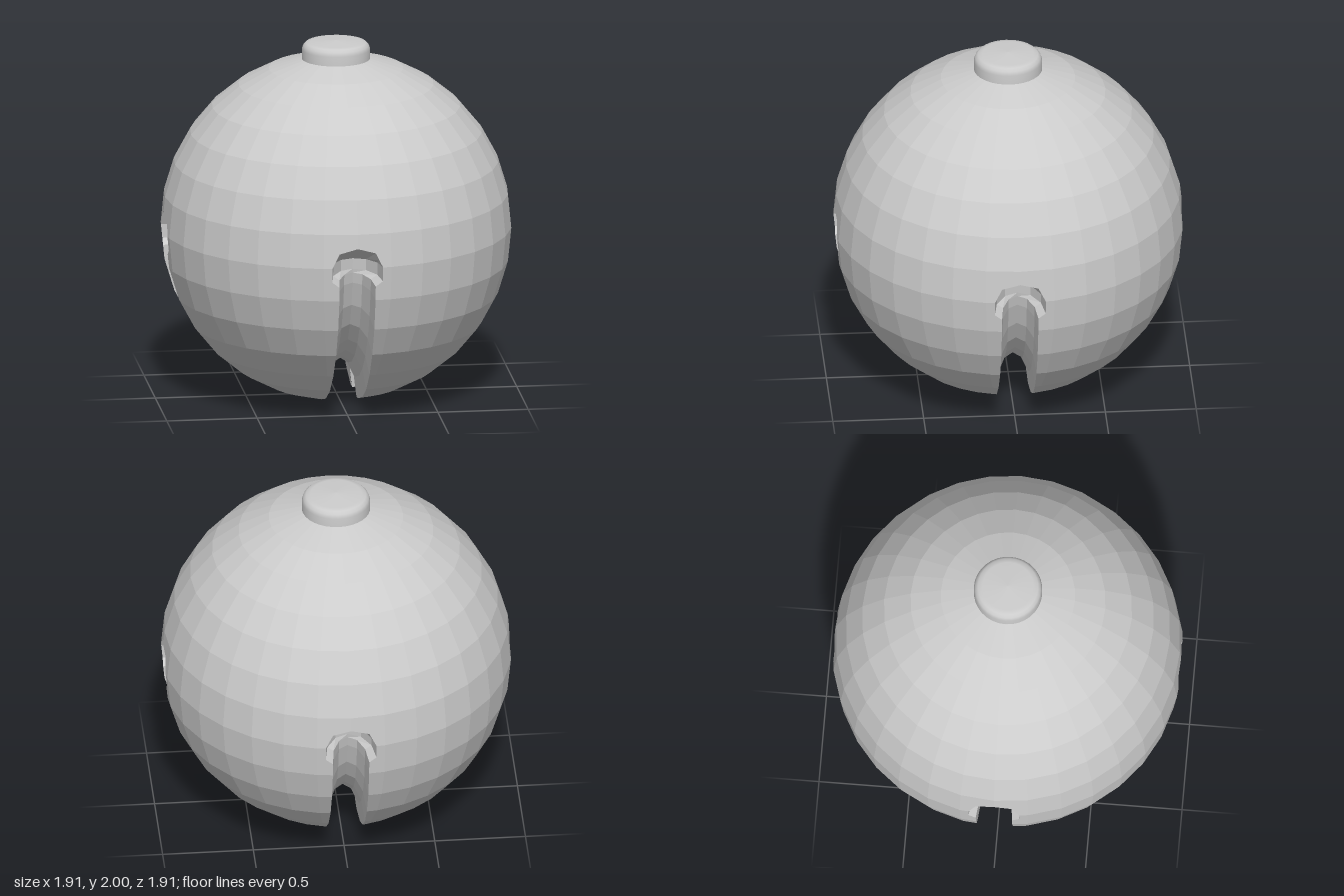
import * as THREE from 'three';

const R = 0.965, CY = 0.951, STEP = Math.PI / 16;
const SLOT = 0.1, HOLE = 0.14;

// Slot cross-section: [half width, distance from ball centre], edge to floor
const PROFILE = [[SLOT, R], [0.087, 0.84], [0.05, 0.76], [0, 0.73]];

// Radius of the faceted ball at height v (from its centre) and azimuth a
function ballRadius(v, a) {
  const k = Math.min(7, Math.floor(Math.asin(Math.min(1, Math.abs(v) / R)) / STEP + 1e-6));
  const v0 = R * Math.sin(k * STEP), v1 = R * Math.sin((k + 1) * STEP);
  const r = THREE.MathUtils.lerp(R * Math.cos(k * STEP), R * Math.cos((k + 1) * STEP),
    (Math.abs(v) - v0) / (v1 - v0));
  const local = THREE.MathUtils.euclideanModulo(a, STEP) - STEP / 2;
  return r * Math.cos(STEP / 2) / Math.cos(local);
}

function ballPoint(v, a) {
  const r = Math.max(0, ballRadius(v, a));
  return new THREE.Vector3(r * Math.sin(a), v, r * Math.cos(a));
}

// Azimuth at which the ball surface reaches x = w
function edgeAngle(v, w) {
  let a = 0;
  for (let i = 0; w > 0 && i < 12; i++) a = Math.asin(Math.min(0.70711, w / ballRadius(v, a)));
  return a;
}

// Rows [height, half width of opening], top to bottom
function makeRows() {
  const rows = [];
  for (let k = 8; k >= 1; k--) rows.push([R * Math.sin(k * STEP), 0]);
  rows.push([0.109, 0], [0.08, SLOT], [0, HOLE], [-0.08, HOLE], [-0.11, SLOT]);
  for (let k = 1; k <= 7; k++) rows.push([-R * Math.sin(k * STEP), SLOT]);
  rows.push([-0.951, SLOT]);
  return rows;
}

// Flat-shaded surface through a grid of points
function gridGeometry(grids) {
  const pos = [];
  const tri = (a, b, c) => {
    const area = new THREE.Vector3().subVectors(b, a).cross(new THREE.Vector3().subVectors(c, a));
    if (area.length() > 1e-7) for (const p of [a, b, c]) pos.push(p.x, p.y, p.z);
  };
  for (const g of grids) {
    for (let i = 0; i + 1 < g.length; i++) {
      for (let j = 0; j + 1 < g[i].length; j++) {
        tri(g[i][j], g[i + 1][j], g[i + 1][j + 1]);
        tri(g[i][j], g[i + 1][j + 1], g[i][j + 1]);
      }
    }
  }
  const geo = new THREE.BufferGeometry();
  geo.setAttribute('position', new THREE.Float32BufferAttribute(pos, 3));
  geo.computeVertexNormals();
  return geo;
}

// One quarter of the ball, trimmed along the slots on both sides
function quarterGeometry(rows) {
  return gridGeometry([rows.map(([v, w]) => {
    const lo = edgeAngle(v, w), line = [];
    for (let j = 0; j <= 8; j++) {
      line.push(ballPoint(v, THREE.MathUtils.clamp(j * STEP, lo, Math.PI / 2 - lo)));
    }
    return line;
  })]);
}

// One slot: rounded channel ending in a wider hole with a sloping roof
function slotGeometry(rows) {
  const low = rows.filter(([v]) => v <= 0);
  const channel = low.map(([v, w], row) => PROFILE.map(([pw, rho], i) => {
    if (i === 0) return ballPoint(v, edgeAngle(v, w));
    // the last row meets the crossing slot on the mitre x = z
    const t = row === low.length - 1 ? Math.acos(pw / rho) : Math.asin(-v / R);
    return new THREE.Vector3(pw * w / SLOT, -rho * Math.sin(t), rho * Math.cos(t));
  }));
  const rim = [[0, HOLE], [0.08, SLOT], [0.109, 0]].map(([v, w]) => ballPoint(v, edgeAngle(v, w)));
  const roof = [[rim[0], rim[0].clone().lerp(rim[1], 0.5), rim[1], rim[2]], channel[0]];
  const mirror = (g) => g.map((line) => line.map((p) => new THREE.Vector3(-p.x, p.y, p.z)).reverse());
  return gridGeometry([channel, roof, mirror(channel), mirror(roof)]);
}

export function createModel() {
  const model = new THREE.Group();
  const flat = new THREE.MeshStandardMaterial({ color: 0xcccccc, flatShading: true });
  const inner = new THREE.MeshStandardMaterial({ color: 0xcccccc, flatShading: true, side: THREE.DoubleSide });
  const rows = makeRows();
  const quarter = quarterGeometry(rows), slot = slotGeometry(rows);

  // Ball shell and its four crossing slots
  for (let i = 0; i < 4; i++) {
    for (const [name, geo, mat] of [['bellQuarter', quarter, flat], ['bellSlot', slot, inner]]) {
      const mesh = new THREE.Mesh(geo, mat);
      mesh.name = name + (i + 1);
      mesh.position.y = CY;
      mesh.rotation.y = i * Math.PI / 2;
      model.add(mesh);
    }
  }

  // Button on top with a bevelled edge
  const profile = [[0.188, 1.87], [0.188, 1.95], [0.18, 1.972], [0.165, 1.986], [0.14, 1.991], [0, 2]]
    .map(([x, y]) => new THREE.Vector2(x, y));
  const cap = new THREE.Mesh(new THREE.LatheGeometry(profile, 32),
    new THREE.MeshStandardMaterial({ color: 0xcccccc }));
  cap.name = 'topButton';
  model.add(cap);
  return model;
}
